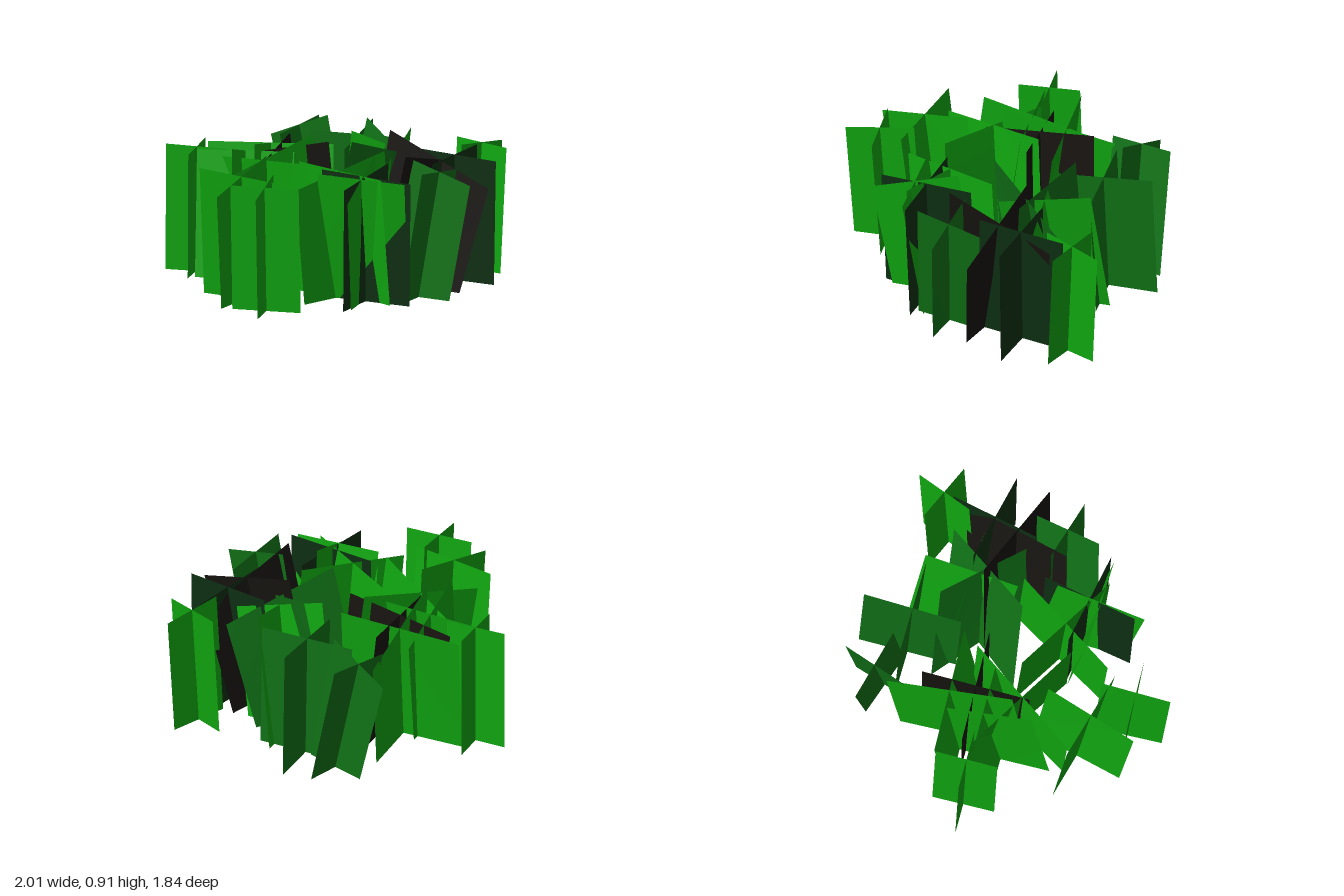
import * as THREE from 'three';

const GREEN = 0x10a510, MID = 0x107016, DARK = 0x0d2e12, BLACK = 0x171410;
const BASE = 0.01, HEIGHT = 0.77;

// Tufts of crossed sheets: colour, centre x, centre z, turn in degrees, width, lean x, lean z.
const tufts = [
  // left side
  [GREEN, -0.83, -0.37, 25, 0.38, 0, 0.02],
  [GREEN, -0.4, -0.29, 24, 0.77, 0.02, -0.08],
  [GREEN, -0.59, -0.1, 25, 0.6, 0.03, -0.1],
  [GREEN, -0.4, 0.04, 58, 0.79, -0.1, 0.01],
  [BLACK, -0.3, -0.2, 25, 0.66, -0.08, -0.01],
  // front
  [GREEN, -0.65, 0.35, 40, 0.58, -0.04, 0.08],
  [GREEN, -0.58, 0.67, 24, 0.42, -0.02, 0.05],
  [GREEN, 0.04, 0.5, 27, 0.54, -0.04, 0.12],
  [GREEN, -0.03, 0.36, 57, 0.72, -0.06, 0.03],
  [DARK, 0.04, 0.53, 36, 0.59, 0, 0.03],
  [MID, 0.37, 0.48, 39, 0.42, 0.12, 0.03],
  // right side
  [BLACK, 0.37, 0.18, 44, 0.71, 0.17, 0.03],
  [DARK, 0.64, 0.09, 38, 0.56, 0.01, 0.01],
  [GREEN, 0.82, -0.15, 49, 0.38, 0.04, -0.02],
  // centre and back
  [MID, 0.16, -0.09, 65, 0.7, 0.18, 0.09],
  [GREEN, 0.27, -0.23, 26, 0.57, 0.07, 0.13],
  [MID, 0.18, -0.52, 26, 0.6, -0.01, 0.03],
  [MID, 0, -0.69, 44, 0.41, -0.14, -0.09],
];

// One upright plane whose top edge is shifted by the lean and dips towards it.
function sheet(x, z, angle, width, leanX, leanZ, material) {
  const geometry = new THREE.PlaneGeometry(width, 1);
  const position = geometry.attributes.position;
  const dx = Math.cos(angle), dz = Math.sin(angle);
  for (let i = 0; i < position.count; i++) {
    const along = position.getX(i);
    const up = position.getY(i) + 0.5;
    const dip = 2.6 * along * (dx * leanX + dz * leanZ);
    position.setXYZ(i, x + along * dx + up * leanX, BASE + up * (HEIGHT - dip), z + along * dz + up * leanZ);
  }
  geometry.computeVertexNormals();
  const mesh = new THREE.Mesh(geometry, material);
  mesh.name = 'bladeSheet';
  return mesh;
}

export function createModel() {
  const model = new THREE.Group();
  model.name = 'grassClump';
  for (const [color, x, z, turn, width, leanX, leanZ] of tufts) {
    const material = new THREE.MeshStandardMaterial({ color, side: THREE.DoubleSide });
    const tuft = new THREE.Group();
    tuft.name = 'grassTuft';
    // Two sheets at right angles
    for (const degrees of [turn, turn + 90]) {
      tuft.add(sheet(x, z, THREE.MathUtils.degToRad(degrees), width, leanX, leanZ, material));
    }
    model.add(tuft);
  }
  return model;
}
